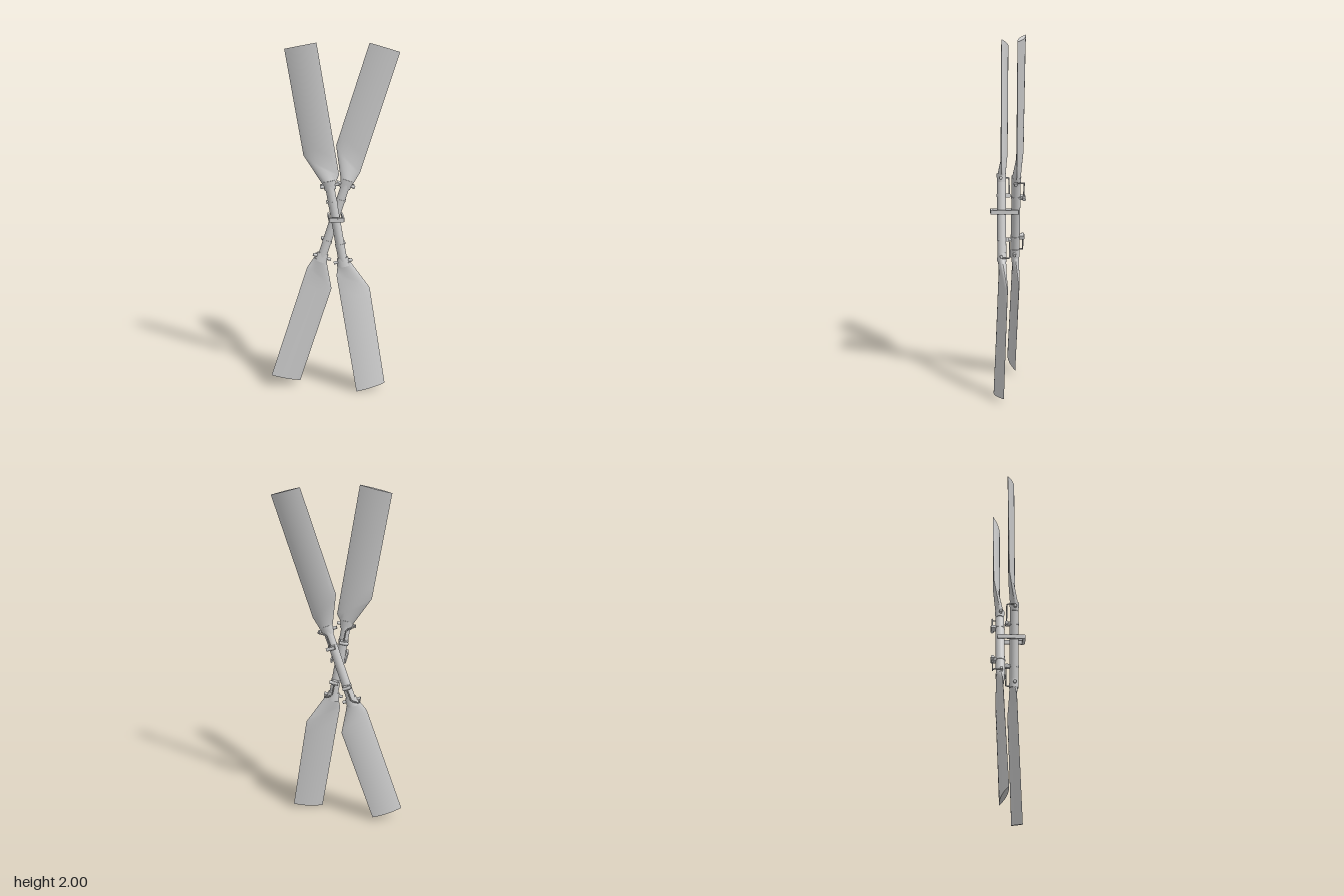
import * as THREE from 'three';
import { toCreasedNormals } from 'three/addons/utils/BufferGeometryUtils.js';

const mat = new THREE.MeshStandardMaterial({ color: 0xcccccc, side: THREE.DoubleSide });
const V = (p) => new THREE.Vector3(...p);

function add(parent, name, geo, pos = [0, 0, 0], rot = [0, 0, 0]) {
  const m = new THREE.Mesh(geo, mat);
  m.name = name;
  m.position.set(...pos);
  m.rotation.set(...rot);
  parent.add(m);
  return m;
}

// Lens-section blade lofted between two edge lines: [root, shoulder, tip]
function bladeGeometry(edgeA, edgeB) {
  const a = edgeA.map(V), b = edgeB.map(V);
  const bulge = [0.024, 0.017, 0.0135], power = [0.5, 0.85, 1];
  const mid = (i) => a[i].clone().add(b[i]).multiplyScalar(0.5);
  const axis = mid(2).sub(mid(0)).normalize();
  const N = 12, ring = 2 * N, steps = [6, 8];
  const pos = [], idx = [];
  let rows = 0;
  const addRing = (s, f) => {
    const e = Math.min(s + 1, 2);
    const l = a[s].clone().lerp(a[e], f), r = b[s].clone().lerp(b[e], f);
    const n = r.clone().sub(l).cross(axis).normalize();
    const h = THREE.MathUtils.lerp(bulge[s], bulge[e], f);
    const pw = THREE.MathUtils.lerp(power[s], power[e], f);
    for (let j = 0; j < ring; j++) {
      const t = (1 - Math.cos((Math.PI * j) / N)) / 2;
      const k = Math.pow(Math.max(0, 4 * t * (1 - t)), pw) * h * (j < N ? 1 : -1);
      const p = l.clone().lerp(r, t).addScaledVector(n, k);
      pos.push(p.x, p.y, p.z);
    }
    rows++;
  };
  steps.forEach((c, s) => { for (let i = 0; i < c; i++) addRing(s, i / c); });
  addRing(2, 0);
  for (let i = 0; i < rows - 1; i++) {
    for (let j = 0; j < ring; j++) {
      const p = i * ring + j, q = i * ring + ((j + 1) % ring);
      idx.push(p, q, q + ring, p, q + ring, p + ring);
    }
  }
  // Flat ends
  const last = (rows - 1) * ring;
  for (let j = 1; j < ring - 1; j++) {
    idx.push(last, last + j, last + j + 1, 0, j + 1, j);
  }
  const g = new THREE.BufferGeometry();
  g.setAttribute('position', new THREE.Float32BufferAttribute(pos, 3));
  g.setIndex(idx);
  return toCreasedNormals(g, 0.45);
}

// Collar, bolts, bent wire and rear clamp at one end of a shaft
function shaftEnd(side) {
  const g = new THREE.Group();
  g.name = 'shaftEnd';
  add(g, 'collar', new THREE.CylinderGeometry(0.033, 0.028, 0.05, 24), [0, 0.225, 0]).scale.set(1.15, 1, 0.85);
  for (const s of [-1, 1]) {
    add(g, 'collarBolt', new THREE.CylinderGeometry(0.009, 0.009, 0.024, 12), [s * 0.042, 0.222, 0.004], [0, 0, Math.PI / 2]);
  }
  const path = new THREE.CurvePath();
  const pts = [[0.035, 0.228, 0.005], [0.047, 0.23, -0.004], [0.047, 0.23, -0.036], [0.042, 0.228, -0.044],
    [0.014, 0.212, -0.044], [0.006, 0.2, -0.044], [0.004, 0.13, -0.044]].map(([x, y, z]) => V([x * side, y, z]));
  for (let i = 0; i < pts.length - 1; i++) path.add(new THREE.LineCurve3(pts[i], pts[i + 1]));
  add(g, 'bentWire', new THREE.TubeGeometry(path, 48, 0.004, 8));
  add(g, 'clampBlock', new THREE.BoxGeometry(0.03, 0.022, 0.026), [0, 0.125, -0.036]);
  add(g, 'clampPin', new THREE.CylinderGeometry(0.01, 0.01, 0.05, 14), [side * 0.008, 0.125, -0.044], [0, 0, Math.PI / 2]);
  add(g, 'clampRing', new THREE.CylinderGeometry(0.028, 0.028, 0.014, 24), [0, 0.125, 0]);
  return g;
}

function paddle(name, center, lean, side, upper, lower) {
  const g = new THREE.Group();
  g.name = name;
  const handle = new THREE.Group();
  handle.name = 'handle';
  handle.position.set(...center);
  handle.rotation.z = lean;
  add(handle, 'shaft', new THREE.CylinderGeometry(0.0255, 0.0255, 0.46, 28));
  const top = shaftEnd(side), bottom = shaftEnd(side);
  bottom.rotation.z = Math.PI;
  handle.add(top, bottom);
  g.add(handle);
  add(g, 'upperBlade', bladeGeometry(upper.left, upper.right));
  add(g, 'lowerBlade', bladeGeometry(lower.right, lower.left));
  return g;
}

// Flat U-shaped strap around the crossing shafts
function hanger() {
  const s = new THREE.Shape();
  const x0 = -0.035, x1 = 0.051, back = 0.06, front = -0.099, r = 0.012, t = 0.009;
  s.moveTo(x0, back);
  s.lineTo(x0, front + r);
  s.quadraticCurveTo(x0, front, x0 + r, front);
  s.lineTo(x1 - r, front);
  s.quadraticCurveTo(x1, front, x1, front + r);
  s.lineTo(x1, back);
  s.lineTo(x1 - t, back);
  s.lineTo(x1 - t, front + 0.016);
  s.lineTo(x0 + t, front + 0.016);
  s.lineTo(x0 + t, back);
  const geo = new THREE.ExtrudeGeometry(s, { depth: 0.024, bevelEnabled: false, curveSegments: 6 });
  geo.rotateX(-Math.PI / 2);
  return geo;
}

export function createModel() {
  const model = new THREE.Group();
  model.name = 'crossedPaddles';
  model.add(
    paddle('frontPaddle', [0.01, 1.0, 0.035], 0.172, -1, {
      left: [[-0.066, 1.225, 0.035], [-0.172, 1.385, 0.0], [-0.272, 1.967, -0.014]],
      right: [[0.006, 1.238, 0.035], [0.025, 1.28, 0.036], [-0.098, 2.0, 0.032]],
    }, {
      left: [[0.018, 0.765, 0.035], [0.01, 0.70, 0.05], [0.125, 0.004, 0.085]],
      right: [[0.09, 0.778, 0.035], [0.205, 0.615, 0.008], [0.297, 0.032, 0.032]],
    }),
    paddle('rearPaddle', [0, 1.0, -0.045], -0.314, 1, {
      left: [[0.04, 1.24, -0.045], [0.016, 1.43, -0.083], [0.202, 2.0, -0.088]],
      right: [[0.112, 1.216, -0.045], [0.15, 1.28, -0.046], [0.367, 1.95, -0.036]],
    }, {
      left: [[-0.115, 0.785, -0.045], [-0.155, 0.73, -0.036], [-0.37, 0.078, -0.012]],
      right: [[-0.042, 0.762, -0.045], [-0.012, 0.59, -0.066], [-0.2, 0.025, -0.054]],
    }),
  );
  // Central hanger with its cross pin
  add(model, 'hanger', hanger(), [0, 1.022, 0]);
  add(model, 'hangerPin', new THREE.CylinderGeometry(0.007, 0.007, 0.05, 12), [0.01, 1.034, 0.075], [Math.PI / 2, 0, 0]);
  return model;
}
